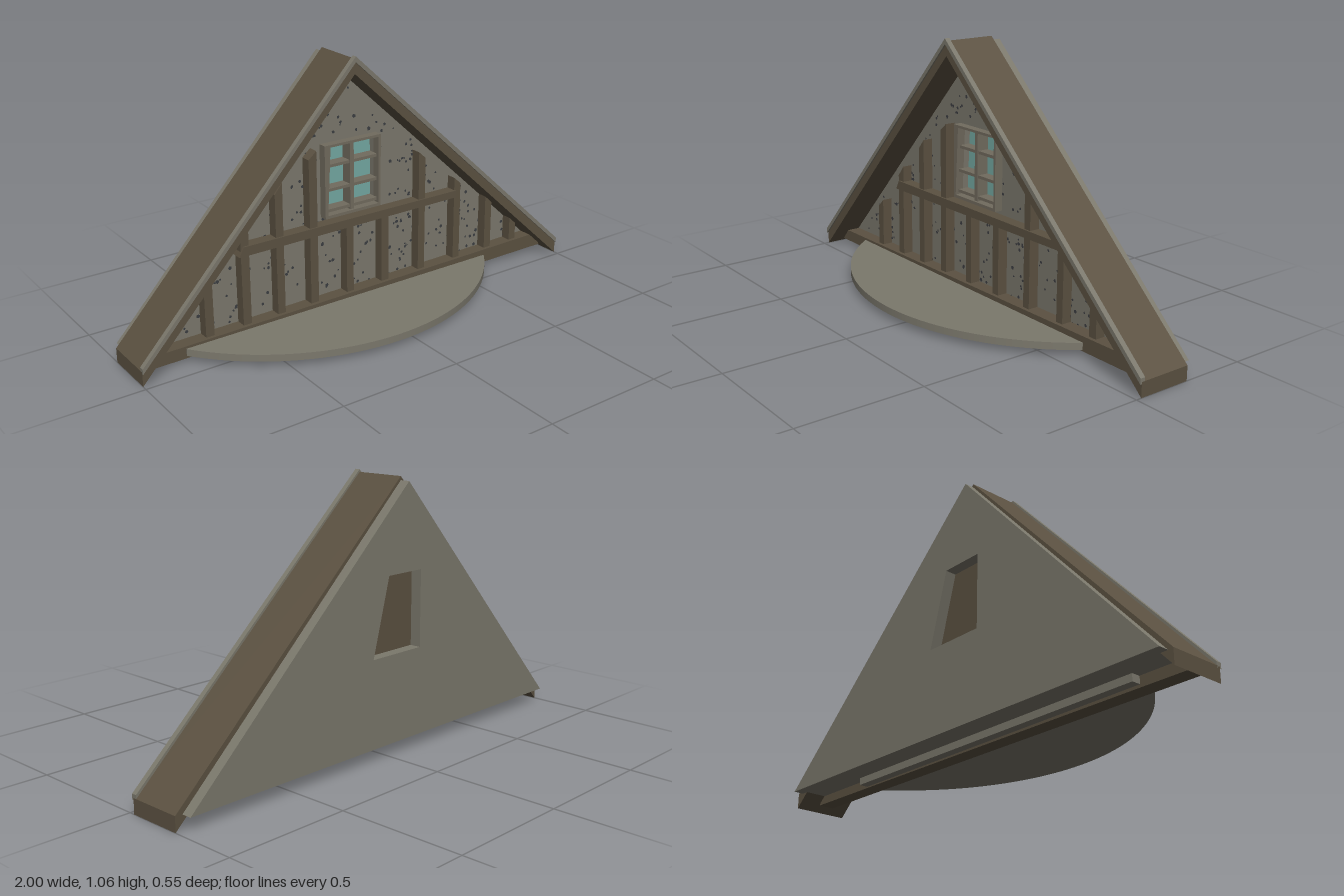
import * as THREE from 'three';
import { mergeGeometries } from 'three/addons/utils/BufferGeometryUtils.js';

const material = (name, color) => {
  const m = new THREE.MeshStandardMaterial({ color });
  m.name = name;
  return m;
};

export function createModel() {
  const plaster = material('grey plaster', 0x7b786c);
  const timber = material('brown timber', 0x5b5141);
  const frameWood = material('window frame wood', 0x716b5e);
  const glass = material('teal glass', 0x74a9a3);
  const speck = material('dark speck', 0x3c3e42);

  const model = new THREE.Group();
  model.name = 'gable';
  const apexX = -0.08;
  const wallZ = -0.15;

  const add = (parent, name, geometry, mat) => {
    const mesh = new THREE.Mesh(geometry, mat);
    mesh.name = name;
    parent.add(mesh);
  };
  const group = (name) => {
    const g = new THREE.Group();
    g.name = name;
    model.add(g);
    return g;
  };
  const vectors = (points) => points.map(([x, y]) => new THREE.Vector2(x, y));
  // Closed outline with an optional hole
  const outline = (points, hole) => {
    const shape = new THREE.Shape(vectors(points));
    if (hole) shape.holes.push(new THREE.Path(vectors(hole)));
    return shape;
  };
  // Extrude an outline in x and y between two z planes
  const slab = (shape, z0, z1) =>
    new THREE.ExtrudeGeometry(shape, { depth: z1 - z0, bevelEnabled: false }).translate(0, 0, z0);
  const box = (x0, x1, y0, y1, z0, z1) =>
    new THREE.BoxGeometry(x1 - x0, y1 - y0, z1 - z0).translate((x0 + x1) / 2, (y0 + y1) / 2, (z0 + z1) / 2);
  // Inverted V of constant vertical thickness
  const chevron = (top, end, t) =>
    outline([[-1, end - t], [apexX, top - t], [1, end - t], [1, end], [apexX, top], [-1, end]]);

  // Roof slopes and the raised strip along their front edge
  add(model, 'roof', slab(chevron(1.05, 0.058, 0.058), -0.24, -0.022), timber);
  add(model, 'roofEdgeStrip', slab(chevron(1.06, 0.072, 0.022), -0.036, -0.015), plaster);

  // Gable wall: front layer with the window opening, rear layer with a recess
  const triangle = [[-0.98, 0.055], [0.97, 0.055], [apexX, 1.035]];
  const opening = [[-0.145, 0.415], [-0.13, 0.692], [0.096, 0.692], [0.096, 0.415]];
  const recess = [[-0.155, 0.4], [-0.155, 0.7], [0.024, 0.7], [0.106, 0.4]];
  const wall = group('wall');
  add(wall, 'frontWall', slab(outline(triangle, opening), -0.232, wallZ), plaster);
  add(wall, 'rearWall', slab(outline(triangle, recess), -0.28, -0.232), plaster);
  add(wall, 'recessPanel', box(-0.165, 0.115, 0.395, 0.705, -0.235, -0.229), timber);

  // Timber framing: sill beam, cross beam and posts [left, right, top left, top right]
  const framing = group('timberFraming');
  add(framing, 'sillBeam', slab(outline([[-0.98, 0.014], [0.97, 0.022], [0.94, 0.082], [0.8, 0.08], [-0.94, 0.062]]),
    -0.155, -0.092), timber);
  add(framing, 'crossBeam', slab(outline([[-0.55, 0.35], [0.485, 0.355], [0.485, 0.385], [-0.53, 0.388]]),
    wallZ, -0.1), timber);
  const posts = [
    [-0.70, -0.665, 0.235, 0.27], [-0.54, -0.505, 0.41, 0.455], [-0.387, -0.354, 0.56, 0.6],
    [-0.235, -0.2, 0.665, 0.695], [-0.065, -0.033, 0.36, 0.36], [0.105, 0.14, 0.36, 0.36],
    [0.292, 0.325, 0.59, 0.56], [0.48, 0.513, 0.44, 0.41], [0.655, 0.69, 0.335, 0.3], [0.8, 0.835, 0.2, 0.17],
  ];
  posts.forEach(([x0, x1, yl, yr], i) =>
    add(framing, `post${i + 1}`, slab(outline([[x0, 0.05], [x1, 0.05], [x1, yr], [x0, yl]]), wallZ, -0.107), timber));

  // Window with two columns and three rows of panes, glass set back in the opening
  const windowGroup = group('window');
  add(windowGroup, 'glass', box(-0.15, 0.1, 0.41, 0.697, -0.182, -0.175), glass);
  const surround = [[-0.157, 0.403], [0.106, 0.403], [0.106, 0.702], [-0.157, 0.702]];
  add(windowGroup, 'frame', slab(outline(surround, opening), wallZ, -0.115), frameWood);
  add(windowGroup, 'mullion', box(-0.034, -0.016, 0.415, 0.692, -0.177, -0.125), frameWood);
  [0.43, 0.515, 0.613].forEach((y, i) =>
    add(windowGroup, `glazingBar${i + 1}`, box(-0.142, 0.096, y - 0.006, y + 0.006, -0.177, -0.128), frameWood));

  // Curved platform at the foot: an arc with short straight sides running under the wall
  const radius = 0.886, centreZ = 0.275 - radius, sideZ = -0.089, backZ = -0.19;
  const start = Math.asin((sideZ - centreZ) / radius);
  const half = radius * Math.cos(start), centreX = apexX + 0.005;
  const floor = new THREE.Shape();
  floor.moveTo(centreX - half, backZ - centreZ);
  floor.lineTo(centreX + half, backZ - centreZ);
  floor.absarc(centreX, 0, radius, start, Math.PI - start, false);
  floor.closePath();
  const platform = new THREE.ExtrudeGeometry(floor, { depth: 0.028, bevelEnabled: false, curveSegments: 40 });
  platform.rotateX(Math.PI / 2).translate(0, 0.054, centreZ);
  add(model, 'platform', platform, plaster);

  // Specks scattered over the plaster, clear of the window
  let seed = 7;
  const random = () => (seed = (seed * 16807) % 2147483647) / 2147483647;
  const specks = [];
  while (specks.length < 300) {
    const x = -0.95 + random() * 1.9, y = 0.07 + random() * 0.87;
    const limit = 0.97 - (x < apexX ? 1.087 : 0.926) * Math.abs(x - apexX);
    const onWindow = x > -0.16 && x < 0.11 && y > 0.4 && y < 0.71;
    if (y > limit || onWindow || (y > 0.5 && random() < 0.35)) continue;
    const g = new THREE.CircleGeometry(0.0045 + random() * 0.004, 5);
    g.scale(1, 0.7 + random() * 0.5, 1).rotateZ(random() * 6).translate(x, y, wallZ + 0.0015);
    specks.push(g);
  }
  add(wall, 'plasterSpecks', mergeGeometries(specks), speck);

  return model;
}
